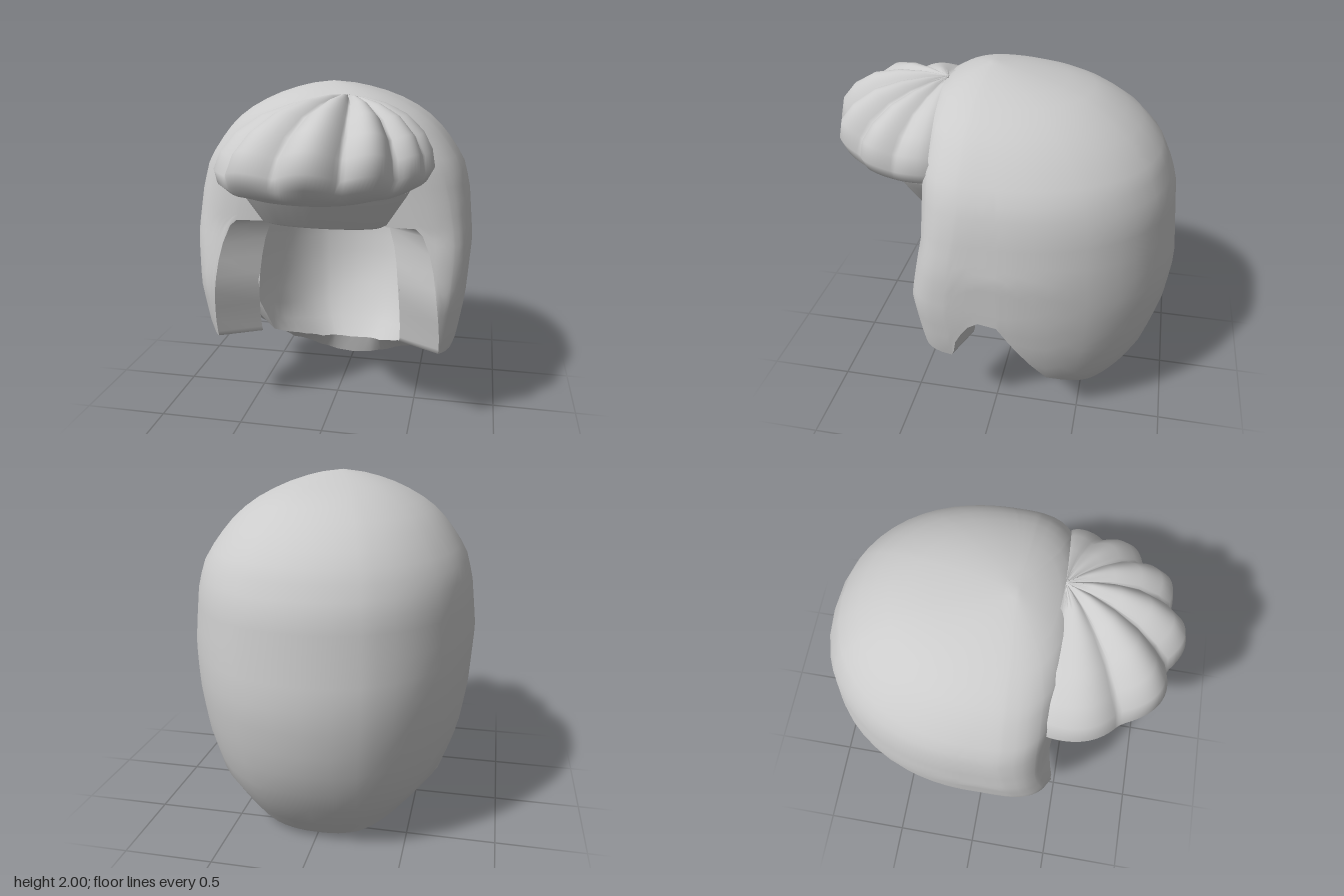
import * as THREE from 'three';
import { mergeVertices } from 'three/addons/utils/BufferGeometryUtils.js';

const material = new THREE.MeshStandardMaterial({ color: 0xcccccc, side: THREE.DoubleSide });
const rad = THREE.MathUtils.degToRad;

// Piecewise linear lookup in a list of [key, value] pairs
function lookup(table, k) {
  if (k <= table[0][0]) return table[0][1];
  for (let i = 1; i < table.length; i++) {
    const [a, va] = table[i - 1], [b, vb] = table[i];
    if (k <= b) return va + (vb - va) * (k - a) / (b - a);
  }
  return table[table.length - 1][1];
}

// Smooth surface through rows of points
function surface(name, rows) {
  const n = rows[0].length, index = [];
  for (let r = 0; r + 1 < rows.length; r++) {
    for (let c = 0; c + 1 < n; c++) {
      const a = r * n + c, b = a + 1, d = a + n, e = d + 1;
      index.push(a, b, e, a, e, d);
    }
  }
  let g = new THREE.BufferGeometry();
  g.setAttribute('position', new THREE.Float32BufferAttribute(rows.flat(2), 3));
  g.setIndex(index);
  g = mergeVertices(g, 1e-4);
  g.computeVertexNormals();
  const mesh = new THREE.Mesh(g, material);
  mesh.name = name;
  return mesh;
}

// Horizontal sections by height: half width, back, front, middle depth, squareness
const WIDTH = [[0, .25], [.05, .36], [.15, .49], [.33, .67], [.55, .75], [.8, .79], [1.1, .81], [1.4, .78],
  [1.55, .74], [1.7, .64], [1.78, .57], [1.86, .46], [1.92, .34], [1.96, .22], [1.985, .12], [2, 0]];
const BACK = [[0, -.6], [.05, -.66], [.2, -.77], [.4, -.88], [.6, -.95], [.9, -.99], [1.2, -.96], [1.4, -.94],
  [1.6, -.85], [1.75, -.71], [1.88, -.5], [1.94, -.28], [1.98, -.07], [2, .1]];
const FRONT = [[0, .3], [.5, .45], [.85, .49], [1.2, .41], [1.6, .42], [1.8, .42], [1.9, .37], [1.95, .28],
  [1.98, .2], [2, .1]];
const MIDDLE = [[0, -.45], [.15, -.15], [.3, -.05], [.5, -.04], [1.5, -.04], [2, .1]];
const FRONT_POWER = [[1.2, .4], [1.4, .5], [1.6, .57], [1.75, .72], [1.9, .9]];
const BACK_POWER = [[.1, .75], [.5, .93]];

// Height of the lower edge by angle from the front: hairline, sideburn, ear notch, nape
const FRONT_HEM = [[0, 1.25], [20, 1.24], [23, 1.2], [31, 1], [37, .8], [48, .53], [50, .5], [79, .5], [81, .54],
  [83, .63], [86, .71], [88, .77], [89.5, .81], [91, .79]];
const OUTER_HEM = [...FRONT_HEM, [92, .76], [94.5, .68], [97.5, .6], [107, .35], [120, .13], [140, .04],
  [160, .01], [180, 0]];
const INNER_HEM = [...FRONT_HEM, [92, .73], [94.5, .54], [97.5, .33], [107, .26], [120, .2], [140, .15], [180, .13]];

function shellPoint(deg, y, inset) {
  const s = Math.sin(rad(deg)), c = Math.cos(rad(deg));
  const mid = lookup(MIDDLE, y), p = lookup(c > 0 ? FRONT_POWER : BACK_POWER, y);
  const w = Math.max(0, lookup(WIDTH, y) - inset * (.2 + .1 * Math.max(0, c)));
  const depth = c > 0 ? lookup(FRONT, y) - mid : mid - lookup(BACK, y);
  const d = Math.max(0, depth - inset * .15);
  return [Math.sign(s) * w * Math.abs(s) ** p, y, mid + Math.sign(c) * d * Math.abs(c) ** p];
}

function createShell() {
  const half = [0, 7, 14, 20, 23, 27, 31, 34, 37, 41, 45, 48, 50, 56, 63, 71, 79, 81, 83, 86, 88, 89.5, 91,
    92, 94.5, 97.5, 102, 107, 113, 120, 126, 133, 140, 147, 154, 160, 170, 180];
  const angles = [...half.slice(1).reverse().map(a => -a), ...half];
  const layer = (inset, hem) => {
    const rows = [], collar = 1.3, low = 10, high = 14;
    for (let i = 0; i < low; i++) {
      rows.push(angles.map(a => {
        const y = THREE.MathUtils.lerp(lookup(hem, Math.abs(a)), collar, i / low);
        return shellPoint(a, y, inset);
      }));
    }
    for (let i = 0; i <= high; i++) {
      const y = collar + .7 * Math.sin(i / high * Math.PI / 2);
      rows.push(angles.map(a => {
        const p = shellPoint(a, y, 0);
        if (!inset) return p;
        // The lining shrinks evenly towards the crown
        const q = shellPoint(a, collar, 1), o = shellPoint(a, collar, 0);
        const k = Math.hypot(q[0], q[2] + .04) / Math.hypot(o[0], o[2] + .04);
        return [p[0] * k, collar + (y - collar) * .8, -.04 + (p[2] + .04) * k];
      }));
    }
    return rows;
  };
  const outer = layer(0, OUTER_HEM), inner = layer(1, INNER_HEM);
  const group = new THREE.Group();
  group.name = 'hairCap';
  group.add(surface('outerHair', outer));
  group.add(surface('lining', inner.map(r => [...r].reverse())));
  group.add(surface('rim', [inner[0], outer[0]]));
  return group;
}

// Fluted fan of hair curling forward from the crown: [reach, height]
function createQuiff() {
  const profile = [[0, 1.94], [.2, 1.95], [.42, 1.94], [.65, 1.9], [.84, 1.82], [.95, 1.73], [1, 1.63],
    [.96, 1.55], [.86, 1.49], [.68, 1.44], [.44, 1.41]];
  const rows = profile.map(([reach, y], t) => {
    const row = [], f = t / (profile.length - 1);
    for (let i = 0; i <= 96; i++) {
      const a = -100 + 198 * i / 96;
      const s = Math.sin(rad(a)), c = Math.cos(rad(a));
      // Rounded locks with sharp grooves, swirling and narrowing to the left
      const lock = Math.abs(Math.sin(rad(a * 5.2 + a * a * .008 + 20 + 70 * Math.sin(Math.PI * f))));
      const flute = (lock - .7) * .13 * Math.sin(Math.PI * Math.min(1, f + .1)) * (.35 + .65 * Math.abs(c));
      const r = .585 * reach * (1 + flute - .04 * s);
      row.push([.12 * (1 - f) ** 1.5 + r * s,
        y + flute * .4 - s * s * .08 * Math.sin(Math.PI * f) + (s * .5 + .5) * s * s * .04 * f,
        .33 + .07 * Math.min(1, 2 * f) + r * c]);
    }
    return row;
  });
  return surface('quiff', rows.reverse());
}

// Sloping underside joining the quiff to the hairline: [reach, height, widening]
function createHairline() {
  const profile = [[.3, 1.46, 1.6], [.27, 1.42, 1.7], [.17, 1.26, 2.1], [.12, 1.24, 2.7], [0, 1.23, 1]];
  const rows = profile.map(([r, y, widen]) => {
    const row = [];
    for (let a = -90; a <= 90; a += 10) {
      row.push([r * widen * Math.sin(rad(a)), y, .37 + r * Math.max(0, Math.cos(rad(a))) ** .7]);
    }
    return row;
  });
  return surface('hairlineUnderside', rows.reverse());
}

export function createModel() {
  const model = new THREE.Group();
  model.name = 'hairpiece';
  model.add(createShell(), createQuiff(), createHairline());
  return model;
}
